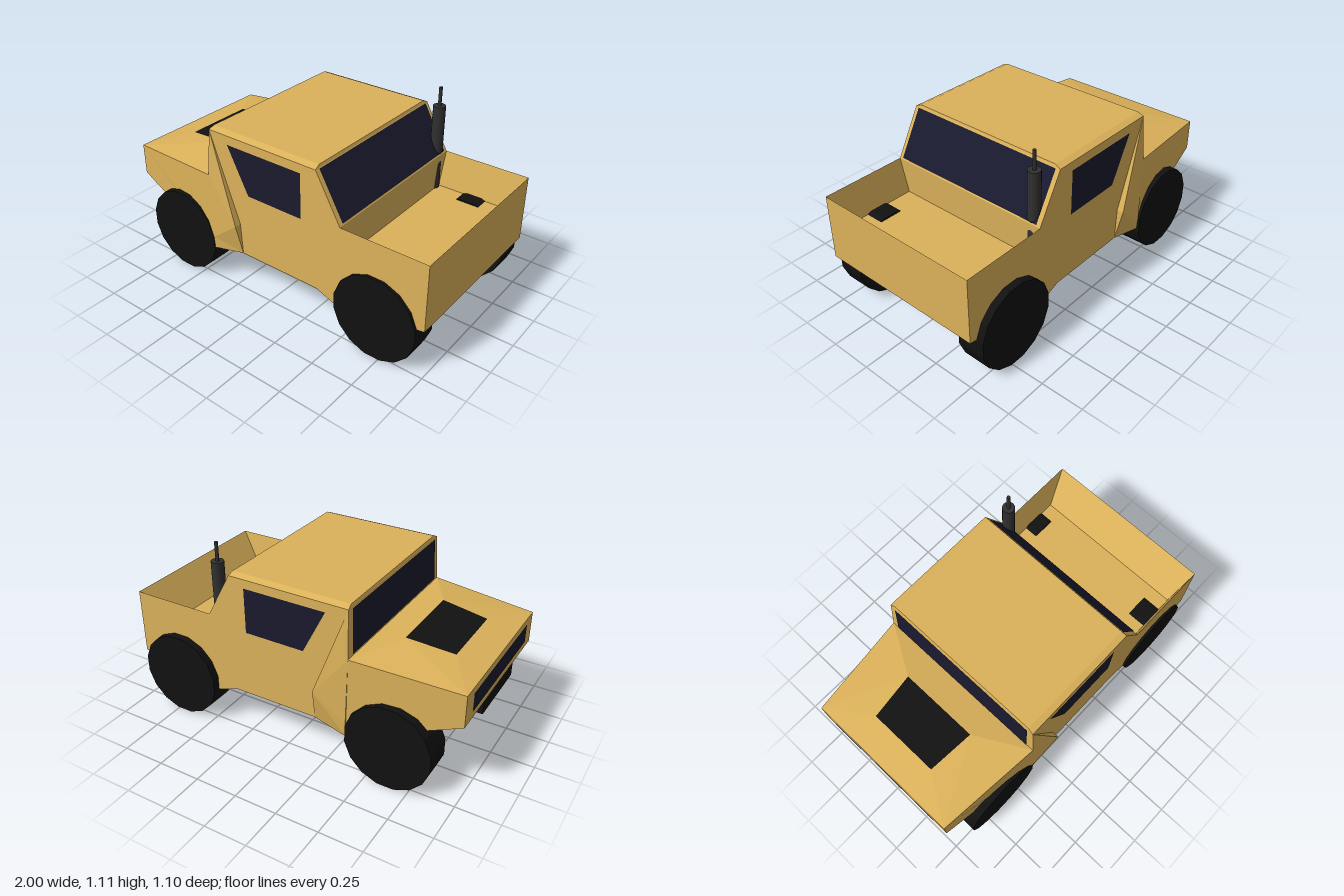
import * as THREE from 'three';

const paint = new THREE.MeshStandardMaterial({ color: 0xdcb25a, flatShading: true, side: THREE.DoubleSide });
const glass = new THREE.MeshStandardMaterial({ color: 0x1a1a2e, side: THREE.DoubleSide });
const black = new THREE.MeshStandardMaterial({ color: 0x111111, flatShading: true, side: THREE.DoubleSide });
const pipe = new THREE.MeshStandardMaterial({ color: 0x303030 });

// Flat-faced mesh from convex polygons, corners counter-clockwise from outside
function panels(name, polys, material) {
  const pos = [];
  for (const p of polys)
    for (let i = 1; i < p.length - 1; i++) pos.push(...p[0], ...p[i], ...p[i + 1]);
  const g = new THREE.BufferGeometry();
  g.setAttribute('position', new THREE.Float32BufferAttribute(pos, 3));
  g.computeVertexNormals();
  const m = new THREE.Mesh(g, material);
  m.name = name;
  return m;
}

// Each polygon plus its twin on the other side
const mirrored = (polys) => polys.flatMap((p) => [p, p.map(([x, y, z]) => [x, y, -z]).reverse()]);

// Quads spanning the width along a profile of [x, y, halfWidth]
function strip(profile) {
  const out = [];
  for (let i = 0; i < profile.length - 1; i++) {
    const [a, b] = [profile[i], profile[i + 1]];
    out.push([a, [a[0], a[1], -a[2]], [b[0], b[1], -b[2]], b]);
  }
  return out;
}

// Flat outline in the side plane, cut into triangles
function sideOutline(points, z) {
  const v = points.map(([x, y]) => new THREE.Vector2(x, y));
  return THREE.ShapeUtils.triangulateShape(v, []).map((t) => t.map((i) => [v[i].x, v[i].y, z]));
}

export function createModel() {
  const truck = new THREE.Group();
  truck.name = 'pickupTruck';

  // Underside, tailgate, bed floor, cab back, roof and windshield wall
  truck.add(panels('bodyShell', strip([
    [-1, 0.665, 0.47], [-1, 0.48, 0.47], [-0.38, 0.225, 0.53], [-0.18, 0.26, 0.51],
    [0.34, 0.26, 0.51], [0.47, 0.21, 0.51], [1, 0.31, 0.51], [1, 0.7, 0.51],
    [0.865, 0.488, 0.47], [0.48, 0.488, 0.47], [0.49, 0.7, 0.51], [0.34, 0.97, 0.51],
    [0.335, 0.985, 0.475], [-0.375, 0.985, 0.475], [-0.38, 0.97, 0.51], [-0.39, 0.7, 0.53],
  ]), paint));

  // Cab and bed sides with the sloping inner bed walls and roof edges
  const outline = [
    [-0.38, 0.225], [-0.18, 0.26], [0.34, 0.26], [0.47, 0.21], [1, 0.31], [1, 0.7],
    [0.49, 0.7], [0.34, 0.97], [-0.38, 0.97],
  ];
  truck.add(panels('bodySides', mirrored([
    ...sideOutline(outline, 0.51),
    [[0.49, 0.7, 0.51], [1, 0.7, 0.51], [0.865, 0.488, 0.47], [0.48, 0.488, 0.47]],
    [[-0.38, 0.97, 0.51], [0.34, 0.97, 0.51], [0.335, 0.985, 0.475], [-0.375, 0.985, 0.475]],
  ]), paint));

  // Front fenders flaring out to a point ahead of the doors
  const nose = [-1, 0.665, 0.47], chin = [-1, 0.48, 0.47];
  const pillar = [-0.38, 0.97, 0.51], cowl = [-0.39, 0.7, 0.53];
  const flare = [-0.19, 0.45, 0.55], arch = [-0.38, 0.3, 0.535];
  const foot = [-0.38, 0.225, 0.53], sill = [-0.18, 0.26, 0.51], inner = [-0.19, 0.45, 0.51];
  truck.add(panels('fenders', mirrored([
    [nose, chin, foot, arch, cowl],
    [pillar, cowl, flare],
    [cowl, arch, flare],
    [arch, foot, sill, flare],
    [pillar, flare, inner],
    [flare, sill, inner],
  ]), paint));

  // Raised hood around the dark scoop
  const c0 = [-0.83, 0.7, 0.21], c1 = [-0.56, 0.73, 0.235];
  truck.add(panels('hood', [
    ...strip([cowl, c1]), ...strip([c0, nose]),
    ...mirrored([[nose, cowl, c1], [nose, c1, c0]]),
  ], paint));
  truck.add(panels('hoodScoop', strip([c1, c0]), black));

  // Windows
  truck.add(panels('windshield', strip([[-0.384, 0.962, 0.475], [-0.394, 0.712, 0.485]]), glass));
  truck.add(panels('rearWindow', strip([[0.489, 0.71, 0.485], [0.345, 0.968, 0.485]]), glass));
  truck.add(panels('sideWindows', mirrored([
    [[-0.115, 0.655, 0.513], [0.245, 0.655, 0.513], [0.245, 0.92, 0.513], [-0.25, 0.92, 0.513]],
  ]), glass));

  // Grille and skid block
  truck.add(panels('grille', strip([[-1.002, 0.63, 0.38], [-1.002, 0.52, 0.38]]), glass));
  const skid = new THREE.Mesh(new THREE.BoxGeometry(0.3, 0.08, 0.42), black);
  skid.name = 'skidBlock';
  skid.position.set(-0.848, 0.437, 0);
  truck.add(skid);

  // Wheels: 16 sides with a flat on top; the rear pair just breaks through the bed floor
  const wheelGeo = new THREE.CylinderGeometry(0.25, 0.25, 1, 16).rotateY(Math.PI / 16).rotateX(Math.PI / 2);
  for (const [name, x, y, z0, z1] of [
    ['frontWheelA', -0.627, 0.25, 0.365, 0.537],
    ['frontWheelB', -0.627, 0.25, -0.545, -0.373],
    ['rearWheelA', 0.712, 0.252, 0.36, 0.525],
    ['rearWheelB', 0.712, 0.252, -0.553, -0.388],
  ]) {
    const w = new THREE.Mesh(wheelGeo, black);
    w.name = name;
    w.position.set(x, y, (z0 + z1) / 2);
    w.scale.z = z1 - z0;
    truck.add(w);
  }

  // Exhaust stack standing in the bed
  const stackProfile = [
    [0, 0.488], [0.034, 0.488], [0.034, 0.65], [0.02, 0.685], [0.036, 0.72],
    [0.036, 1], [0.01, 1], [0.01, 1.11], [0, 1.11],
  ].map(([r, y]) => new THREE.Vector2(r, y));
  const stackMat = pipe.clone();
  stackMat.flatShading = true;
  const stack = new THREE.Mesh(new THREE.LatheGeometry(stackProfile, 16), stackMat);
  stack.name = 'exhaustStack';
  stack.position.set(0.458, 0, -0.445);
  truck.add(stack);

  return truck;
}
